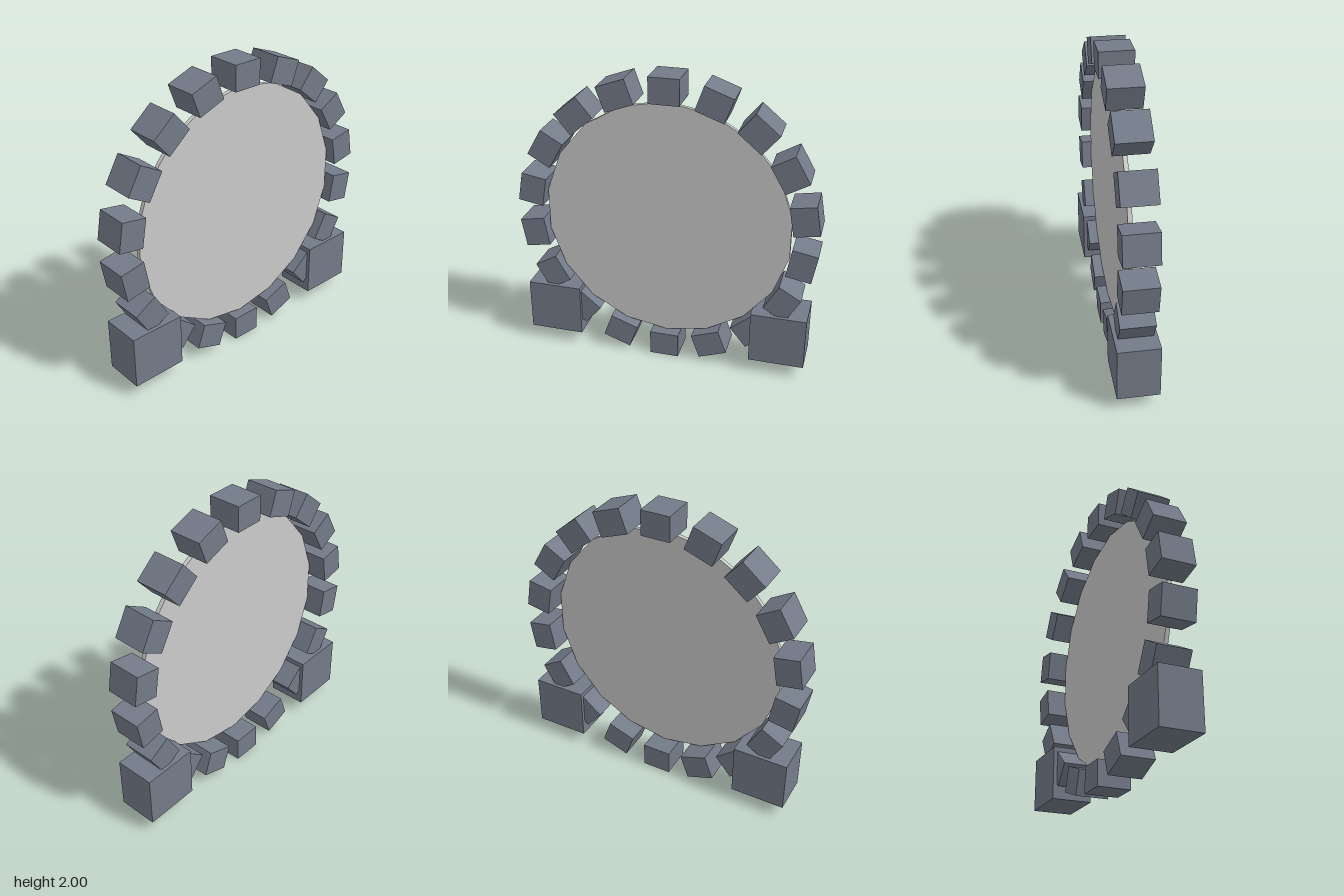
import * as THREE from 'three';

export function createModel() {
  const model = new THREE.Group();
  const stone = new THREE.MeshStandardMaterial({ color: 0x747b89, flatShading: true });
  const grey = new THREE.MeshStandardMaterial({ color: 0xcccccc, flatShading: true });
  const COUNT = 18, CENTRE_Y = 1;

  // Thin 18-sided disc, set slightly forward, with a corner at the top
  const discGeometry = new THREE.CylinderGeometry(0.827, 0.827, 0.028, COUNT);
  discGeometry.rotateX(Math.PI / 2);
  const disc = new THREE.Mesh(discGeometry, grey);
  disc.name = 'disc';
  disc.position.set(0, CENTRE_Y, 0.032);
  model.add(disc);

  // Ring of blocks, each turned to face outward
  const ring = new THREE.Group();
  ring.name = 'blockRing';
  ring.position.y = CENTRE_Y;
  const blockGeometry = new THREE.BoxGeometry(0.198, 0.17, 0.222);
  const radius = 0.915;
  for (let i = 0; i < COUNT; i++) {
    const angle = (i / COUNT) * Math.PI * 2;
    const block = new THREE.Mesh(blockGeometry, stone);
    block.name = 'ringBlock';
    block.position.set(Math.sin(angle) * radius, Math.cos(angle) * radius, 0);
    block.rotation.z = -angle;
    ring.add(block);
  }
  model.add(ring);

  // Large foot blocks on both sides
  const footGeometry = new THREE.BoxGeometry(0.37, 0.36, 0.272);
  for (const side of [1, -1]) {
    const foot = new THREE.Mesh(footGeometry, stone);
    foot.name = side > 0 ? 'leftFoot' : 'rightFoot';
    foot.position.set(side * 0.78, 0.27, 0);
    model.add(foot);
  }
  return model;
}
